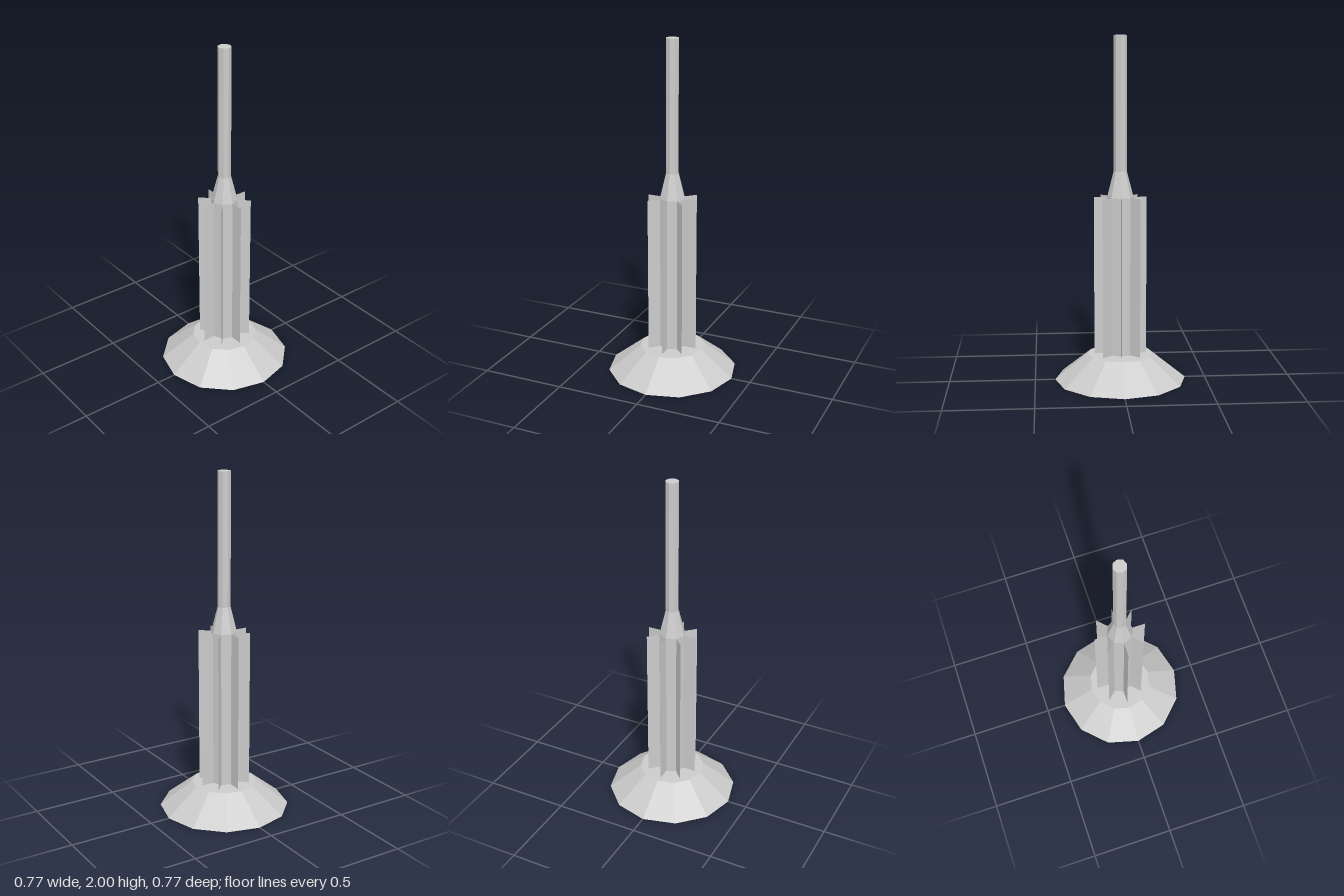
import * as THREE from 'three';

const BASE_TOP = 0.153;
const FIN_TOP = 1.08;
const CORE_RADIUS = 0.076;
const FIN_RADIUS = 0.152;

const material = new THREE.MeshStandardMaterial({
  color: 0xcccccc, flatShading: true, side: THREE.DoubleSide,
});

// Faceted turned part from a bottom-to-top [radius, height] profile
function turned(name, profile, sides) {
  const points = profile.map(([r, y]) => new THREE.Vector2(r, y));
  const geometry = new THREE.LatheGeometry(points, sides).toNonIndexed();
  geometry.computeVertexNormals();
  const mesh = new THREE.Mesh(geometry, material);
  mesh.name = name;
  return mesh;
}

export function createModel() {
  const model = new THREE.Group();
  model.name = 'finnedColumn';

  // Hollow twelve-sided foot, open underneath
  model.add(turned('base', [[0.383, 0], [0.192, BASE_TOP], [0, BASE_TOP]], 12));

  // Eight-sided core, tapering into the slim rod
  model.add(turned('core', [[CORE_RADIUS, BASE_TOP], [CORE_RADIUS, FIN_TOP]], 8));
  model.add(turned('taper', [[CORE_RADIUS, FIN_TOP], [0.038, 1.23]], 8));
  model.add(turned('rod', [[0.038, 1.23], [0.038, 2], [0, 2]], 8));

  // Thin fins radiating from each corner of the core
  const fins = new THREE.Group();
  fins.name = 'fins';
  const finShape = new THREE.PlaneGeometry(FIN_RADIUS - CORE_RADIUS, FIN_TOP - BASE_TOP);
  finShape.translate((FIN_RADIUS + CORE_RADIUS) / 2, (FIN_TOP + BASE_TOP) / 2, 0);
  for (let i = 0; i < 8; i++) {
    const fin = new THREE.Mesh(finShape, material);
    fin.name = 'fin';
    fin.rotation.y = (i * Math.PI) / 4;
    fins.add(fin);
  }
  model.add(fins);

  return model;
}
